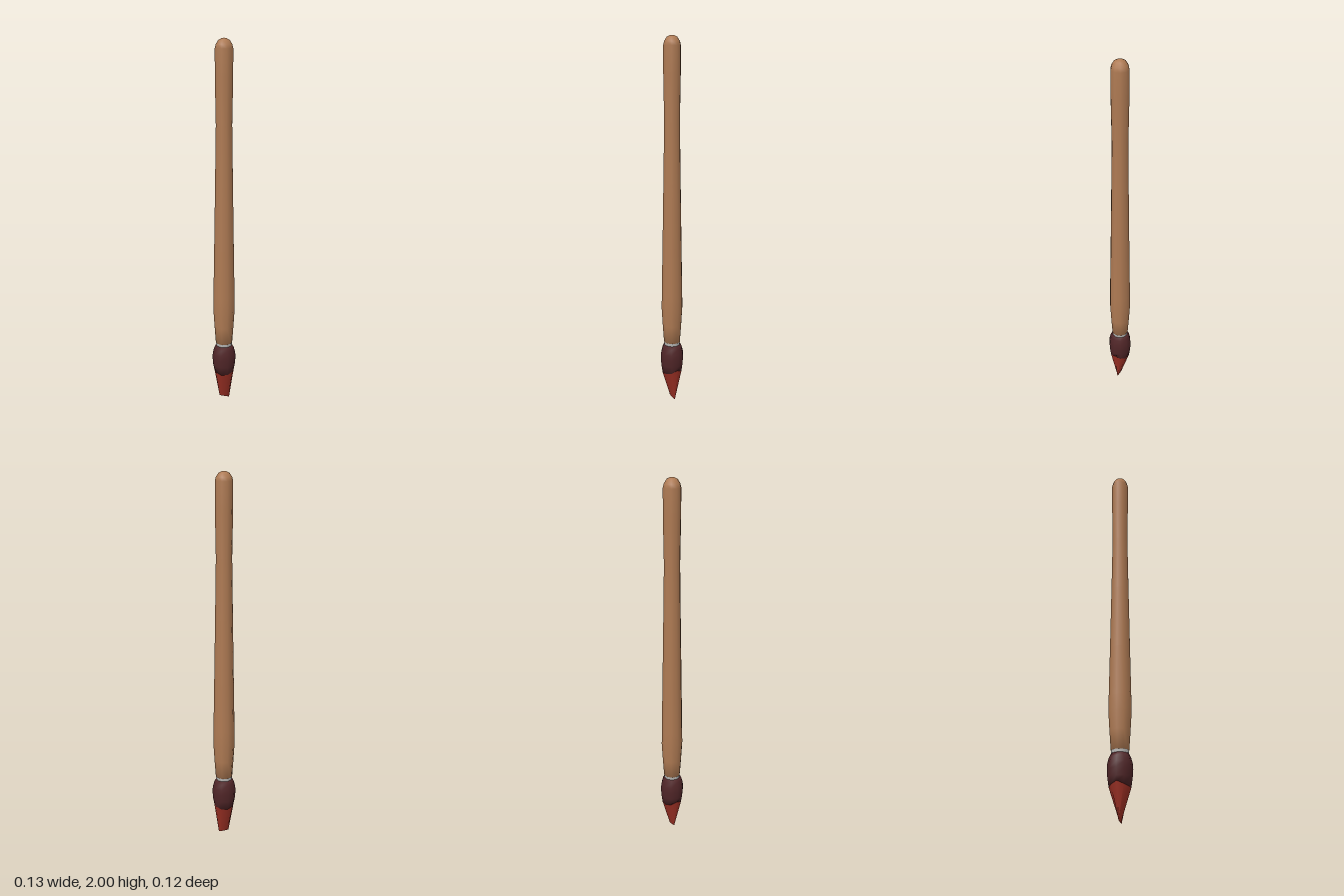
import * as THREE from 'three';

const SIDES = 10;
const material = (name, color) => {
  const m = new THREE.MeshStandardMaterial({ color });
  m.name = name;
  return m;
};

// Ten-sided turned part with corners on the x axis; profile runs bottom to top as [radius, y]
function turned(name, profile, mat) {
  const points = profile.map(([r, y]) => new THREE.Vector2(r, y));
  const mesh = new THREE.Mesh(new THREE.LatheGeometry(points, SIDES, Math.PI / 2), mat);
  mesh.name = name;
  return mesh;
}

// Skin over rings listed bottom to top; each ring maps cos and sin of the angle to a point
function loft(name, rings, mat) {
  const positions = [], index = [];
  for (const ring of rings) {
    for (let i = 0; i < SIDES; i++) {
      const a = (i / SIDES) * Math.PI * 2;
      positions.push(...ring(Math.cos(a), Math.sin(a)));
    }
  }
  for (let j = 0; j < rings.length - 1; j++) {
    for (let i = 0; i < SIDES; i++) {
      const k = (i + 1) % SIDES;
      const a = j * SIDES + i, b = j * SIDES + k;
      index.push(a, a + SIDES, b, b, a + SIDES, b + SIDES);
    }
  }
  // Close the bottom
  for (let i = 1; i < SIDES - 1; i++) index.push(0, i, i + 1);
  const geometry = new THREE.BufferGeometry();
  geometry.setAttribute('position', new THREE.Float32BufferAttribute(positions, 3));
  geometry.setIndex(index);
  geometry.computeVertexNormals();
  const mesh = new THREE.Mesh(geometry, mat);
  mesh.name = name;
  return mesh;
}

export function createModel() {
  const wood = material('wood', 0xae7a53);
  const metal = material('metal', 0xb4b4b2);
  const darkBristle = material('dark bristle', 0x4f2527);
  const redPaint = material('red paint', 0x9b3024);
  const group = new THREE.Group();
  group.name = 'paintbrush';

  // Long handle, swelling near the ferrule and rounded at the end
  group.add(turned('handle', [
    [0, 0.35], [0.046, 0.35], [0.053, 0.45], [0.059, 0.55], [0.058, 0.63], [0.053, 0.9],
    [0.047, 1.25], [0.042, 1.57], [0.046, 1.82], [0.046, 1.95], [0.041, 1.97],
    [0.028, 1.99], [0.012, 1.998], [0, 2],
  ], wood));

  group.add(turned('ferrule', [[0.044, 0.325], [0.044, 0.352]], metal));

  // Uneven edge where the paint ends
  const paintEdge = (c, s) => [0.057 * c, 0.19 - 0.025 * Math.abs(s), 0.055 * s];
  const round = (r, y) => (c, s) => [r * c, y, r * s];

  // Bulging dry bristles
  group.add(loft('bristles', [
    paintEdge, round(0.062, 0.215), round(0.065, 0.255), round(0.063, 0.285),
    round(0.055, 0.315), round(0.046, 0.333), round(0, 0.333),
  ], darkBristle));

  // Painted tip, pinched to a slanted chisel edge
  const tipEdge = (c, s) => [0.002 + 0.027 * c, 0.005 - 0.005 * c, 0.002 * s];
  group.add(loft('paintedTip', [tipEdge, paintEdge], redPaint));

  return group;
}
